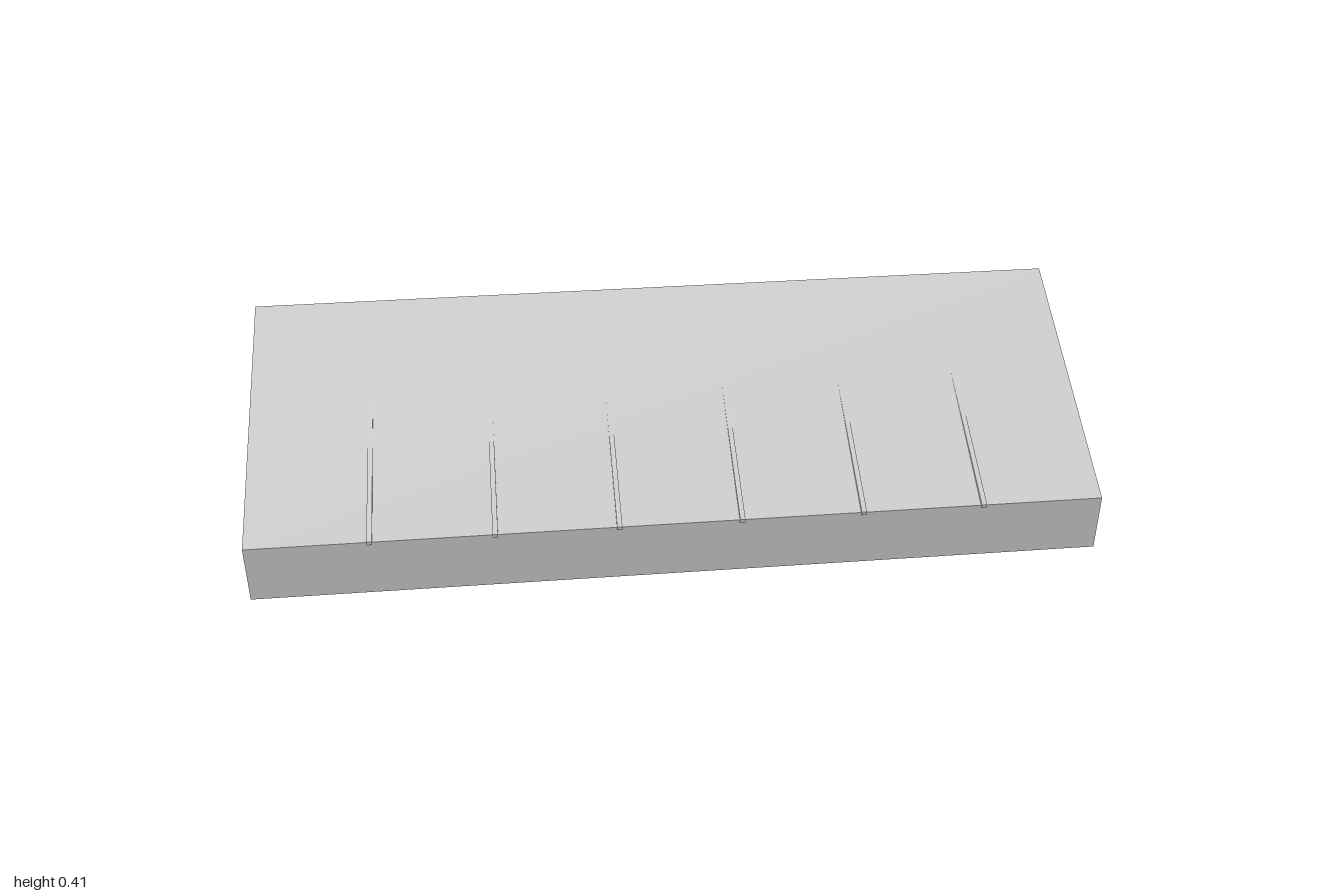
import * as THREE from 'three';

export function createModel() {
  const group = new THREE.Group();
  const grey = new THREE.MeshStandardMaterial({ color: 0xcccccc });
  grey.name = 'light grey';

  // Side profile given as [z, y] points, extruded along x and centred on x
  function addProfile(name, points, width, x = 0) {
    const shape = new THREE.Shape(points.map(([z, y]) => new THREE.Vector2(-z, y)));
    const geometry = new THREE.ExtrudeGeometry(shape, { depth: width, bevelEnabled: false });
    geometry.translate(0, 0, -width / 2);
    geometry.rotateY(Math.PI / 2);
    const mesh = new THREE.Mesh(geometry, grey);
    mesh.name = name;
    mesh.position.x = x;
    group.add(mesh);
  }

  // Sloping canopy and the valance hanging from its front edge
  addProfile('canopy', [[0.328, 0.145], [-0.313, 0.414], [-0.313, 0.386], [0.3, 0.127]], 2);
  addProfile('valance', [[0.328, 0], [0.328, 0.145], [0.3, 0.127], [0.3, 0]], 2);

  // Thin ribs that sink into the canopy halfway up
  for (let i = 0; i < 6; i++) {
    addProfile('rib', [[0.335, 0.142], [0.335, 0.151], [-0.115, 0.329], [-0.115, 0.32]],
      0.012, (i - 2.5) * 0.2857);
  }

  // Support arms with wall brackets at the back
  for (const side of [-1, 1]) {
    const x = side * 0.928;
    addProfile('arm', [[0.301, 0.095], [0.301, 0.115], [-0.301, 0.329], [-0.301, 0.309]], 0.02, x);
    const bracket = new THREE.Mesh(new THREE.BoxGeometry(0.031, 0.068, 0.034), grey);
    bracket.name = 'wallBracket';
    bracket.position.set(x, 0.308, -0.318);
    group.add(bracket);
  }
  return group;
}
